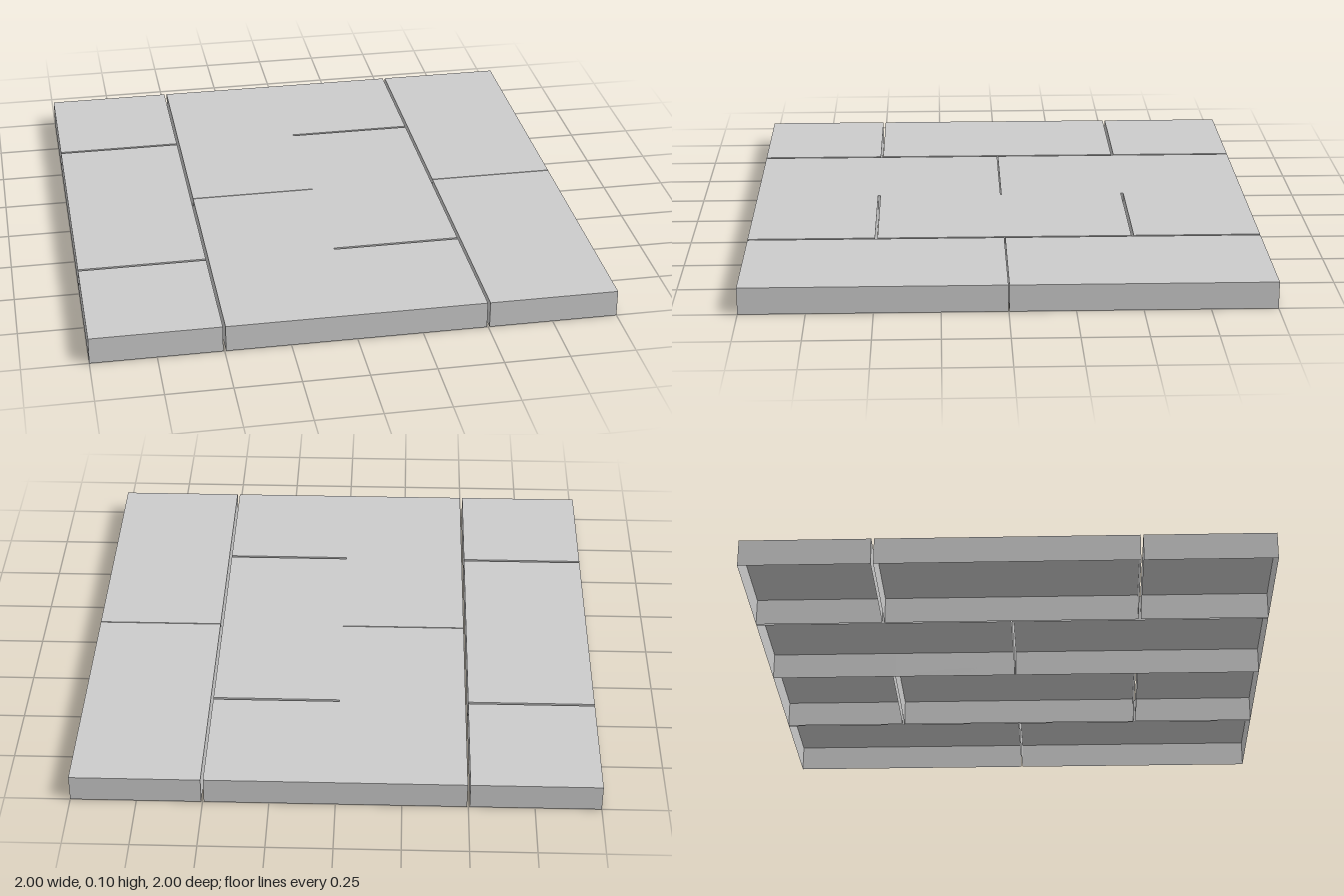
import * as THREE from 'three';

const HEIGHT = 0.105;
const material = new THREE.MeshStandardMaterial({ color: 0xcccccc, flatShading: true, side: THREE.DoubleSide });

// Hollow paving slab: a thin box shell, open underneath
function slab(name, [x0, x1], [z0, z1]) {
  const geometry = new THREE.BoxGeometry(x1 - x0, HEIGHT, z1 - z0);
  const index = Array.from(geometry.index.array);
  index.splice(18, 6); // drop the bottom face
  geometry.setIndex(index);
  geometry.clearGroups();
  const mesh = new THREE.Mesh(geometry, material);
  mesh.name = name;
  mesh.position.set((x0 + x1) / 2, HEIGHT / 2, (z0 + z1) / 2);
  return mesh;
}

export function createModel() {
  const model = new THREE.Group();
  model.name = 'pavingFloor';

  // Four rows side by side; the two inner rows touch at x = 0
  const rows = [[-1, -0.505], [-0.495, 0], [0, 0.495], [0.505, 1]];
  // Staggered joints: half-full-half rows alternate with full-full rows
  const halfFullHalf = [[-1, -0.505], [-0.495, 0.495], [0.505, 1]];
  const fullFull = [[-1, -0.002], [0.002, 1]];

  rows.forEach((xSpan, i) => {
    const row = new THREE.Group();
    row.name = `slabRow${i + 1}`;
    const spans = i % 2 === 0 ? halfFullHalf : fullFull;
    spans.forEach((zSpan) => {
      row.add(slab(zSpan[1] - zSpan[0] < 0.6 ? 'halfSlab' : 'fullSlab', xSpan, zSpan));
    });
    model.add(row);
  });
  return model;
}
